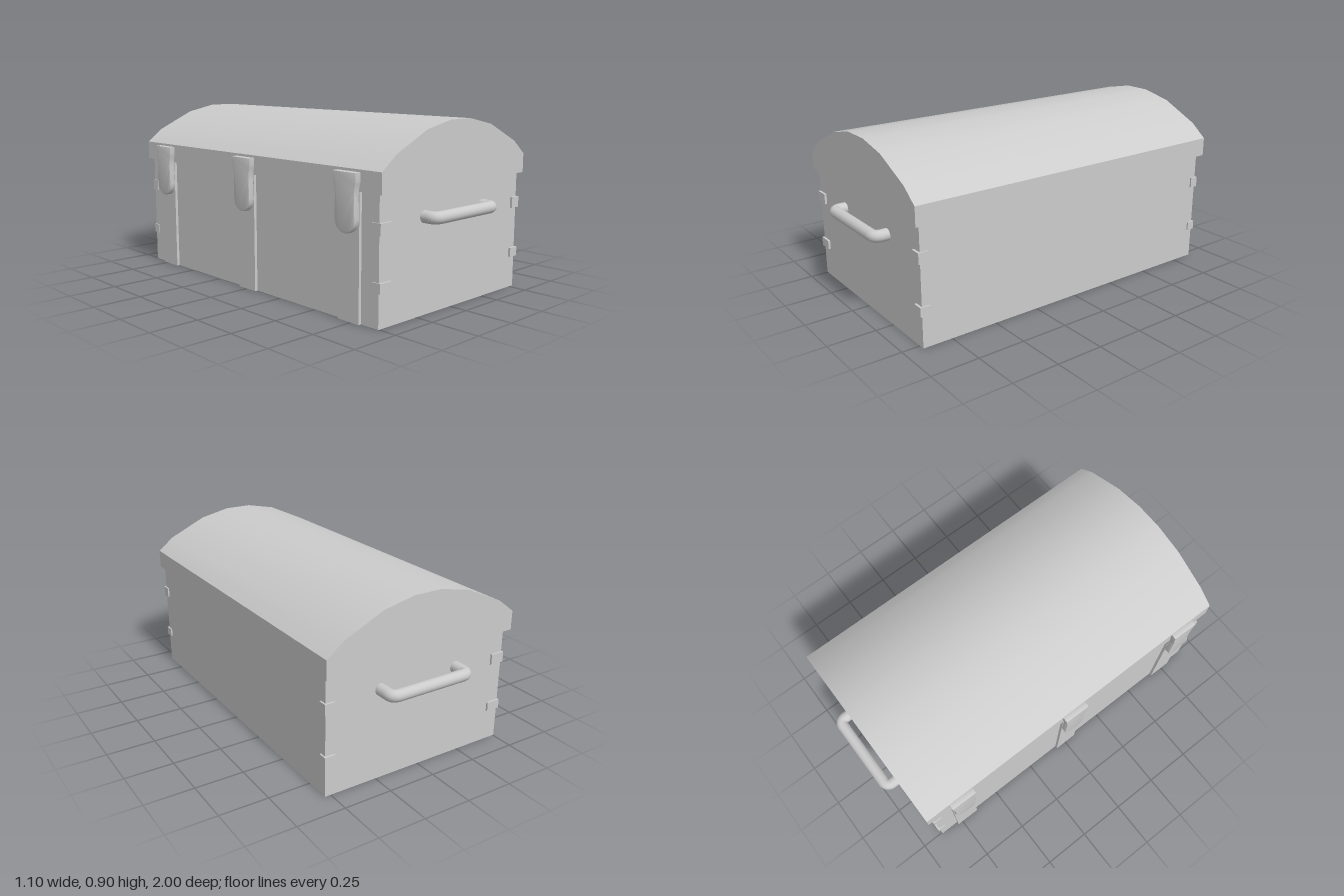
import * as THREE from 'three';
import { toCreasedNormals } from 'three/addons/utils/BufferGeometryUtils.js';

const material = new THREE.MeshStandardMaterial({ color: 0xcccccc });

function add(parent, name, geometry) {
  const mesh = new THREE.Mesh(geometry, material);
  mesh.name = name;
  parent.add(mesh);
  return mesh;
}

// Box given by its lower and upper limits on each axis
function box(parent, name, [x0, x1], [y0, y1], [z0, z1]) {
  const mesh = add(parent, name, new THREE.BoxGeometry(x1 - x0, y1 - y0, z1 - z0));
  mesh.position.set((x0 + x1) / 2, (y0 + y1) / 2, (z0 + z1) / 2);
  return mesh;
}

// Bar with two short legs, bent at the corners, sticking out towards +z
function handleGeometry() {
  const w = 0.22, out = 0.09, r = 0.035;
  const v = (x, z) => new THREE.Vector3(x, 0, z);
  const path = new THREE.CurvePath();
  path.add(new THREE.LineCurve3(v(-w, -0.02), v(-w, out - r)));
  path.add(new THREE.QuadraticBezierCurve3(v(-w, out - r), v(-w, out), v(-w + r, out)));
  path.add(new THREE.LineCurve3(v(-w + r, out), v(w - r, out)));
  path.add(new THREE.QuadraticBezierCurve3(v(w - r, out), v(w, out), v(w, out - r)));
  path.add(new THREE.LineCurve3(v(w, out - r), v(w, -0.02)));
  return new THREE.TubeGeometry(path, 96, 0.03, 14);
}

// Hasp plate: wide at the top, tapering to a rounded tongue
function latchGeometry() {
  const s = new THREE.Shape();
  s.moveTo(-0.064, 0.68);
  s.lineTo(-0.064, 0.645);
  s.quadraticCurveTo(-0.054, 0.61, -0.054, 0.57);
  s.lineTo(-0.058, 0.48);
  s.bezierCurveTo(-0.058, 0.395, 0.058, 0.395, 0.058, 0.48);
  s.lineTo(0.054, 0.57);
  s.quadraticCurveTo(0.054, 0.61, 0.064, 0.645);
  s.lineTo(0.064, 0.68);
  s.closePath();
  const g = new THREE.ExtrudeGeometry(s, {
    depth: 0.026, bevelThickness: 0.006, bevelSize: 0.006, bevelSegments: 2, curveSegments: 10,
  });
  return toCreasedNormals(g, 0.6);
}

export function createModel() {
  const chest = new THREE.Group();
  chest.name = 'chest';

  // Body
  box(chest, 'body', [-0.505, 0.53], [0, 0.6], [-0.88, 0.905]);

  // Domed lid, smooth over the curve and sharp at the ends
  const profile = [
    [-0.52, 0.6], [0.547, 0.6], [0.547, 0.698], [0.46, 0.767], [0.255, 0.862], [0.09, 0.897],
    [-0.06, 0.897], [-0.225, 0.862], [-0.43, 0.767], [-0.52, 0.698],
  ].map(([x, y]) => new THREE.Vector2(x, y));
  const lidGeometry = new THREE.ExtrudeGeometry(new THREE.Shape(profile), {
    depth: 1.845, bevelEnabled: false,
  });
  lidGeometry.translate(0, 0, -0.915);
  add(chest, 'lid', toCreasedNormals(lidGeometry, 0.5));

  // Straps and latches along one long side
  const latch = latchGeometry();
  for (const z of [-0.712, 0.003, 0.735]) {
    box(chest, 'strap', [-0.52, -0.5], [0, 0.6], [z - 0.065, z + 0.065]);
    const mesh = add(chest, 'latch', latch);
    mesh.rotation.y = -Math.PI / 2;
    mesh.position.set(-0.518, 0, z);
  }

  // Carrying handles on both ends
  const handle = handleGeometry();
  for (const [z, turn] of [[0.88, 0], [-0.88, Math.PI]]) {
    const mesh = add(chest, 'handle', handle);
    mesh.position.set(0.015, 0.465, turn ? z : 0.88);
    mesh.rotation.y = turn;
  }

  // Corner brackets, two heights on each corner
  for (const y of [[0.163, 0.21], [0.42, 0.475]]) {
    for (const z of [[-0.89, -0.845], [0.865, 0.917]]) {
      box(chest, 'cornerBracket', [-0.51, -0.435], y, z);
      box(chest, 'cornerBracket', [0.482, 0.538], y, z);
    }
  }
  return chest;
}
